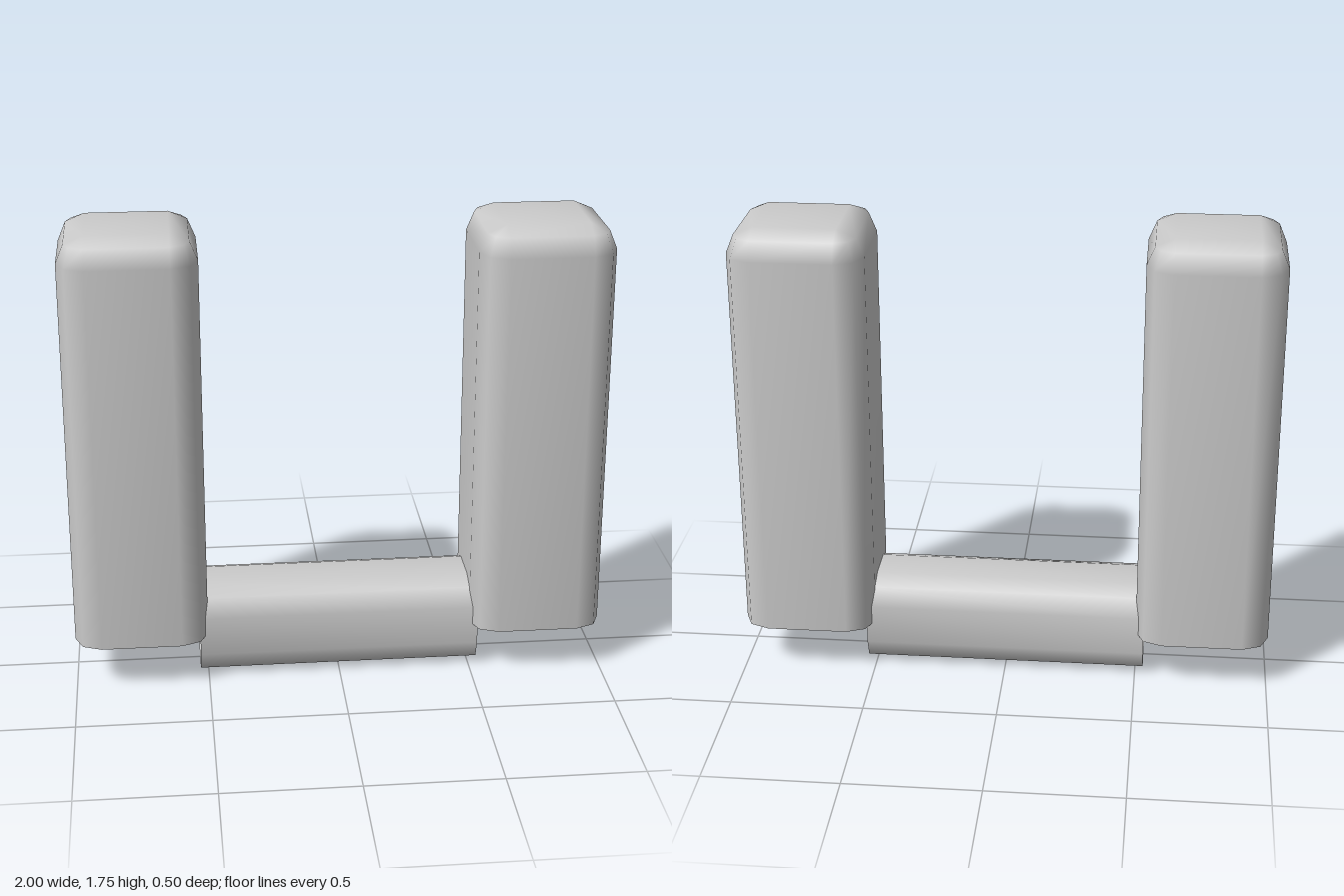
import * as THREE from 'three';
import { mergeVertices } from 'three/addons/utils/BufferGeometryUtils.js';

const material = new THREE.MeshStandardMaterial({ color: 0xcccccc, side: THREE.DoubleSide });

// Square with two-segment rounded corners, at height y
function ring({ y, half, r }) {
  const points = [];
  for (let corner = 0; corner < 4; corner++) {
    const mid = Math.PI / 4 + corner * Math.PI / 2;
    const cx = Math.sign(Math.cos(mid)) * (half - r);
    const cz = Math.sign(Math.sin(mid)) * (half - r);
    for (let k = -1; k <= 1; k++) {
      const a = mid + k * Math.PI / 4;
      points.push(cx + r * Math.cos(a), y, cz + r * Math.sin(a));
    }
  }
  return points;
}

// Smooth shell through the rings, open below and optionally closed on top
function shell(rings, capped) {
  const n = 12;
  const positions = rings.flatMap(ring);
  const index = [];
  for (let i = 0; i < rings.length - 1; i++) {
    for (let j = 0; j < n; j++) {
      const a = i * n + j, b = i * n + (j + 1) % n;
      index.push(a, a + n, b, b, a + n, b + n);
    }
  }
  if (capped) {
    const base = (rings.length - 1) * n;
    positions.push(0, rings[rings.length - 1].y, 0);
    for (let j = 0; j < n; j++) index.push(base + n, base + (j + 1) % n, base + j);
  }
  let geometry = new THREE.BufferGeometry();
  geometry.setAttribute('position', new THREE.Float32BufferAttribute(positions, 3));
  geometry.setIndex(index);
  geometry = mergeVertices(geometry, 1e-4);
  geometry.computeVertexNormals();
  return geometry;
}

export function createModel() {
  const model = new THREE.Group();
  model.name = 'twoPostFrame';

  // Upright posts: hollow, open at the bottom, rounded on top
  const postGeometry = shell([
    { y: 0.18, half: 0.25, r: 0.1 },
    { y: 1.65, half: 0.25, r: 0.1 },
    { y: 1.72, half: 0.221, r: 0.071 },
    { y: 1.75, half: 0.15, r: 0 },
  ], true);
  for (const [name, side] of [['leftPost', 1], ['rightPost', -1]]) {
    const post = new THREE.Mesh(postGeometry, material);
    post.name = name;
    post.position.x = side * 0.75;
    model.add(post);
  }

  // Crossbar: open tube lying along x, its ends tucked into the posts
  const barGeometry = shell([
    { y: -0.53, half: 0.175, r: 0.1 },
    { y: 0.53, half: 0.175, r: 0.1 },
  ], false);
  const crossbar = new THREE.Mesh(barGeometry, material);
  crossbar.name = 'crossbar';
  crossbar.rotation.z = Math.PI / 2;
  crossbar.position.y = 0.175;
  model.add(crossbar);

  return model;
}
